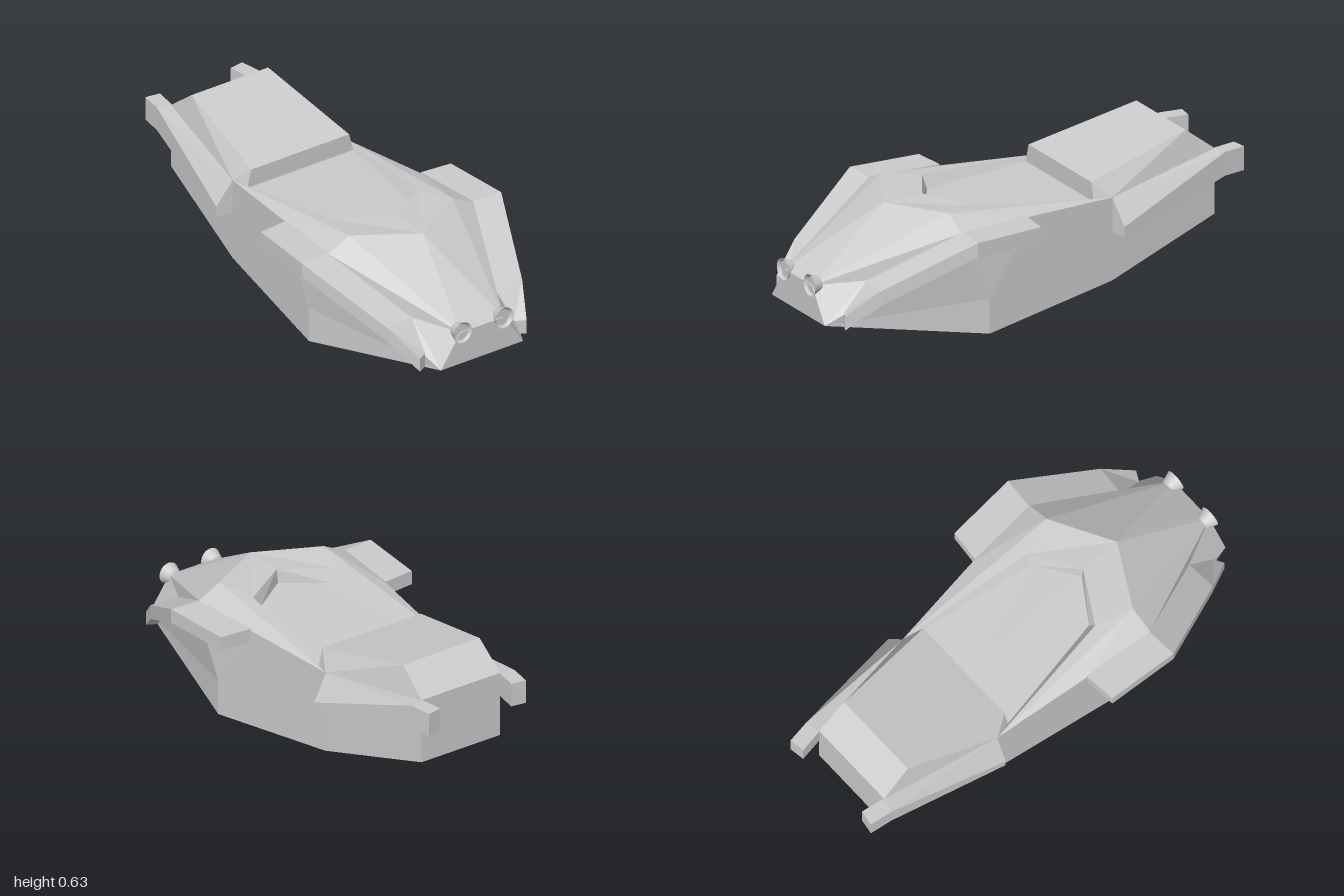
import * as THREE from 'three';

const material = new THREE.MeshStandardMaterial({ color: 0xcccccc, flatShading: true, side: THREE.DoubleSide });

// Flat polygons, fanned from their first corner and turned away from a centre
// point (or towards it when facing is -1). Mirror adds the -x half.
function shell(name, polygons, centre, { facing = 1, mirror = true } = {}) {
  const out = [];
  const mid = new THREE.Vector3(...centre);
  const add = (poly) => {
    const p = poly.map((c) => new THREE.Vector3(...c));
    const normal = new THREE.Vector3();
    const middle = new THREE.Vector3();
    for (let i = 0; i < p.length; i++) {
      middle.addScaledVector(p[i], 1 / p.length);
      normal.add(p[i].clone().cross(p[(i + 1) % p.length]));
    }
    if (normal.dot(middle.sub(mid)) * facing < 0) p.reverse().unshift(p.pop());
    for (let i = 1; i < p.length - 1; i++) {
      for (const v of [p[0], p[i], p[i + 1]]) out.push(v.x, v.y, v.z);
    }
  };
  for (const poly of polygons) {
    add(poly);
    if (mirror) add(poly.map(([x, y, z]) => [-x, y, z]));
  }
  const geometry = new THREE.BufferGeometry();
  geometry.setAttribute('position', new THREE.Float32BufferAttribute(out, 3));
  geometry.computeVertexNormals();
  const mesh = new THREE.Mesh(geometry, material);
  mesh.name = name;
  return mesh;
}

// Four-cornered beam through stations [inner x, inner z, outer x, outer z,
// inner top, outer top, bottom], closed at both ends.
function beam(name, stations, side) {
  const rings = stations.map(([xi, zi, xo, zo, ti, to, b]) => [
    [side * xi, ti, zi], [side * xo, to, zo], [side * xo, b, zo], [side * xi, b, zi],
  ]);
  const group = new THREE.Group();
  group.name = name;
  for (let i = 0; i < rings.length - 1; i++) {
    const a = rings[i], c = rings[i + 1];
    const polys = a.map((_, k) => [a[k], a[(k + 1) % 4], c[(k + 1) % 4], c[k]]);
    if (i === 0) polys.push(a);
    if (i === rings.length - 2) polys.push(c);
    const all = [...a, ...c];
    const centre = [0, 1, 2].map((k) => all.reduce((s, p) => s + p[k], 0) / 8);
    group.add(shell(name + 'Section', polys, centre, { mirror: false }));
  }
  return group;
}

export function createModel() {
  const model = new THREE.Group();
  model.name = 'hoverVehicle';
  const onAxis = ([, y, z]) => [0, y, z];

  // Keel corners, front to back
  const keel = [[0.21, 0.12, 0.99], [0.37, 0, 0.295], [0.29, 0.08, -0.34], [0.2, 0.235, -0.885]];
  // Upper side corners
  const nose = [0.11, 0.265, 0.99];
  const hoodLow = [0.21, 0.28, 0.79];
  const shoulder = [0.37, 0.47, 0.43];
  const underShoulder = [0.37, 0.41, 0.43];
  const knuckle = [0.37, 0.155, 0.295];
  const waist = [0.345, 0.465, 0.1];
  const waistLow = [0.345, 0.41, 0.1];
  // Deck and cockpit rim
  const peak = [0, 0.512, 0.58];
  const deck = [0.265, 0.522, 0.43];
  const rimTip = [0, 0.515, 0.395];
  const rim = [0.21, 0.505, 0.27];
  const rimBack = [0.29, 0.445, -0.34];
  // Engine cover
  const coverFront = [0.25, 0.515, -0.265];
  const coverTop = [0.195, 0.63, -0.75];
  const coverBack = [0.2, 0.525, -0.885];
  // Cockpit floor
  const floorTip = [0, 0.455, 0.385];
  const floor = [0.178, 0.45, 0.265];
  const floorBack = [0.27, 0.435, -0.265];

  model.add(shell('hull', [
    // underside
    ...[0, 1, 2].map((i) => [keel[i], keel[i + 1], onAxis(keel[i + 1]), onAxis(keel[i])]),
    // front and back plates
    [keel[0], nose, onAxis(nose), onAxis(keel[0])],
    [keel[3], coverBack, onAxis(coverBack), onAxis(keel[3])],
    // flanks
    [keel[0], keel[1], knuckle, underShoulder, hoodLow, nose],
    [knuckle, underShoulder, waistLow],
    [keel[1], keel[2], rimBack, waist, waistLow, knuckle],
    [keel[2], keel[3], coverBack, rimBack],
  ], [0, 0.25, 0]));

  model.add(shell('hood', [
    [nose, deck, peak, onAxis(nose)],
    [nose, hoodLow, shoulder, deck],
  ], [0, 0.25, 0.3]));

  model.add(shell('deck', [
    [peak, deck, rim, rimTip],
    [deck, rimBack, rim],
    [deck, shoulder, waist, rimBack],
  ], [0, 0.1, 0]));

  model.add(shell('cockpitRecess', [
    [rimTip, rim, floor, floorTip],
    [rim, rimBack, floorBack, floor],
    [floor, floorBack, onAxis(floorBack), floorTip],
    [coverFront, floorBack, onAxis(floorBack), onAxis(coverFront)],
    [coverFront, rimBack, floorBack],
  ], [0, 0.9, 0.1], { facing: -1 }));

  model.add(shell('engineCover', [
    [coverFront, coverTop, onAxis(coverTop), onAxis(coverFront)],
    [coverTop, coverBack, onAxis(coverBack), onAxis(coverTop)],
    [coverFront, coverTop, rimBack],
    [coverTop, coverBack, rimBack],
  ], [0, 0.25, -0.5]));

  for (const side of [1, -1]) {
    const prefix = side > 0 ? 'left' : 'right';

    // Front fender, tip to rear
    model.add(beam(prefix + 'Fender', [
      [0.225, 0.905, 0.272, 0.93, 0.17, 0.17, 0.108],
      [0.21, 0.79, 0.345, 0.8, 0.28, 0.28, 0.215],
      [0.37, 0.425, 0.508, 0.435, 0.472, 0.472, 0.41],
      [0.342, 0.105, 0.485, 0.118, 0.472, 0.472, 0.41],
    ], side));

    // Rear arm, rising to a short straight end
    model.add(beam(prefix + 'RearArm', [
      [0.288, -0.342, 0.36, -0.358, 0.445, 0.335, 0.29],
      [0.196, -0.89, 0.262, -0.9, 0.525, 0.525, 0.42],
      [0.18, -0.99, 0.247, -1, 0.525, 0.525, 0.42],
    ], side));

    // Dished headlight
    const profile = [[0, 0.94], [0.03, 0.955], [0.047, 1], [0.034, 0.987], [0, 0.987]]
      .map(([r, z]) => new THREE.Vector2(r, z));
    const lamp = new THREE.Mesh(new THREE.LatheGeometry(profile, 24), material);
    lamp.rotation.x = Math.PI / 2;
    lamp.position.set(side * 0.106, 0.267, 0);
    lamp.name = prefix + 'Headlight';
    model.add(lamp);
  }
  return model;
}
